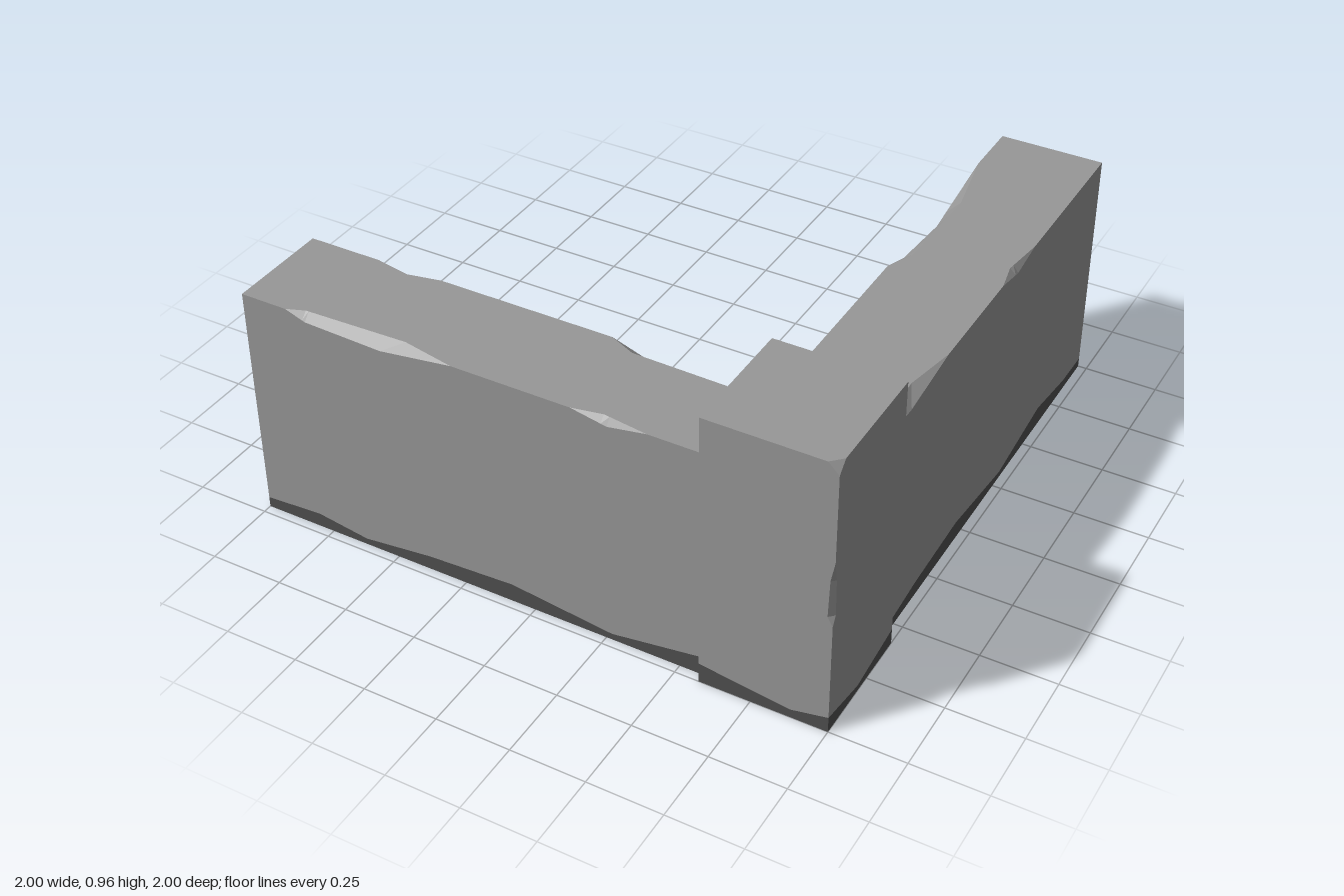
import * as THREE from 'three';

// Piecewise-linear lookup in a list of [position, value]
function sample(pts, t) {
  if (t <= pts[0][0]) return pts[0][1];
  for (let i = 1; i < pts.length; i++) {
    const [a, va] = pts[i - 1], [b, vb] = pts[i];
    if (t <= b) return va + (vb - va) * (t - a) / (b - a);
  }
  return pts[pts.length - 1][1];
}

// Collects flat polygons for two materials: 0 stone, 1 base
function makeFaces() {
  const lists = [[], []];
  return {
    poly(mat, ...p) {
      for (let i = 1; i < p.length - 1; i++) lists[mat].push(...p[0], ...p[i], ...p[i + 1]);
    },
    build() {
      const g = new THREE.BufferGeometry();
      g.setAttribute('position', new THREE.Float32BufferAttribute([...lists[0], ...lists[1]], 3));
      g.addGroup(0, lists[0].length / 3, 0);
      g.addGroup(lists[0].length / 3, lists[1].length / 3, 1);
      g.computeVertexNormals();
      return g;
    },
  };
}

// Wall: cross-sections lofted along x, with chipped top edges and a ragged base band
function wallGeometry() {
  const zOut = 0.97, zIn = 0.62, top = 0.82;
  const outDrop = [[-0.84, 0], [-0.77, 0.025], [-0.5, 0.035], [-0.25, 0], [0.15, 0], [0.27, 0.023], [0.4, 0]];
  const outInset = [[-0.84, 0], [-0.78, 0.023], [-0.43, 0.035], [-0.25, 0], [0.15, 0], [0.25, 0.02], [0.4, 0]];
  const inDrop = [[-0.75, 0], [-0.63, 0.03], [-0.52, 0], [0.08, 0], [0.2, 0.04], [0.45, 0.065], [0.77, 0]];
  const inInset = [[-0.75, 0], [-0.63, 0.022], [-0.52, 0], [0.08, 0], [0.17, 0.04], [0.52, 0.048], [0.77, 0]];
  const outBase = [[-1, 0.037], [-0.8, 0.05], [-0.62, 0.022], [-0.38, 0.05], [-0.08, 0.065], [0.27, 0.022],
    [0.59, 0.07], [0.82, 0.035], [0.97, 0.032]];
  const inBase = outBase.map(([x, y]) => [-0.03 - x, y]).reverse();
  const all = [outDrop, outInset, inDrop, inInset, outBase, inBase].flat().map((p) => p[0]);
  const xs = [...new Set(all.map((x) => Math.round(x * 1000) / 1000))].sort((a, b) => a - b);

  const rings = xs.map((x) => [
    [x, 0, zOut], [x, sample(outBase, x), zOut], [x, top - sample(outDrop, x), zOut],
    [x, top, zOut - sample(outInset, x)], [x, top, zIn + sample(inInset, x)],
    [x, top - sample(inDrop, x), zIn], [x, sample(inBase, x), zIn], [x, 0, zIn],
  ]);
  const f = makeFaces();
  for (let i = 0; i < rings.length - 1; i++) {
    for (let j = 0; j < 8; j++) {
      const k = (j + 1) % 8;
      f.poly(j === 0 || j >= 6 ? 1 : 0, rings[i][j], rings[i + 1][j], rings[i + 1][k], rings[i][k]);
    }
  }
  // End caps
  const a = rings[0], b = rings[rings.length - 1];
  [[0, 1, 6, 7], [1, 2, 5, 6], [2, 3, 4, 5]].forEach((q, n) => {
    f.poly(n ? 0 : 1, ...q.map((i) => a[i]));
    f.poly(n ? 0 : 1, ...q.map((i) => b[i]).reverse());
  });
  return f.build();
}

// Corner post: horizontal rings lofted upwards, with small chips on the outer edge
function postGeometry() {
  const lo = 0.58, hi = 1;
  const baseY = [0.055, 0.03, 0.07, 0.05, 0.055, 0.02, 0.055];
  const ring = (y, c) => [
    [hi - c, y, hi], [0.88, y, hi], [lo, y, hi], [lo, y, lo], [hi, y, lo], [hi, y, 0.81], [hi, y, hi - c],
  ];
  const rings = [
    ring(0, 0),
    ring(0, 0).map(([x, , z], i) => [x, baseY[i], z]),
    ...[[0.4, 0], [0.43, 0.017], [0.56, 0.013], [0.63, 0], [0.93, 0], [0.965, 0.035]].map(([y, c]) => ring(y, c)),
  ];
  const f = makeFaces();
  const n = baseY.length, last = rings[rings.length - 1], mid = (lo + hi) / 2;
  for (let j = 0; j < n; j++) {
    const k = (j + 1) % n;
    for (let i = 0; i < rings.length - 1; i++) {
      f.poly(i === 0 ? 1 : 0, rings[i][j], rings[i + 1][j], rings[i + 1][k], rings[i][k]);
    }
    f.poly(0, [mid, 0.965, mid], last[k], last[j]);
    f.poly(1, [mid, 0, mid], rings[0][j], rings[0][k]);
  }
  return f.build();
}

export function createModel() {
  const group = new THREE.Group();
  group.name = 'cornerWall';
  const stone = new THREE.MeshStandardMaterial({ color: 0x989898 });
  stone.name = 'stone';
  const base = new THREE.MeshStandardMaterial({ color: 0x505050 });
  base.name = 'darkBase';
  const mats = [stone, base];

  // Two identical walls meeting at a right angle
  const wall = wallGeometry();
  const frontWall = new THREE.Mesh(wall, mats);
  frontWall.name = 'frontWall';
  const sideWall = new THREE.Mesh(wall, mats);
  sideWall.name = 'sideWall';
  sideWall.rotation.y = Math.PI / 2;
  sideWall.position.z = -0.03;

  const post = new THREE.Mesh(postGeometry(), mats);
  post.name = 'cornerPost';

  group.add(frontWall, sideWall, post);
  return group;
}
